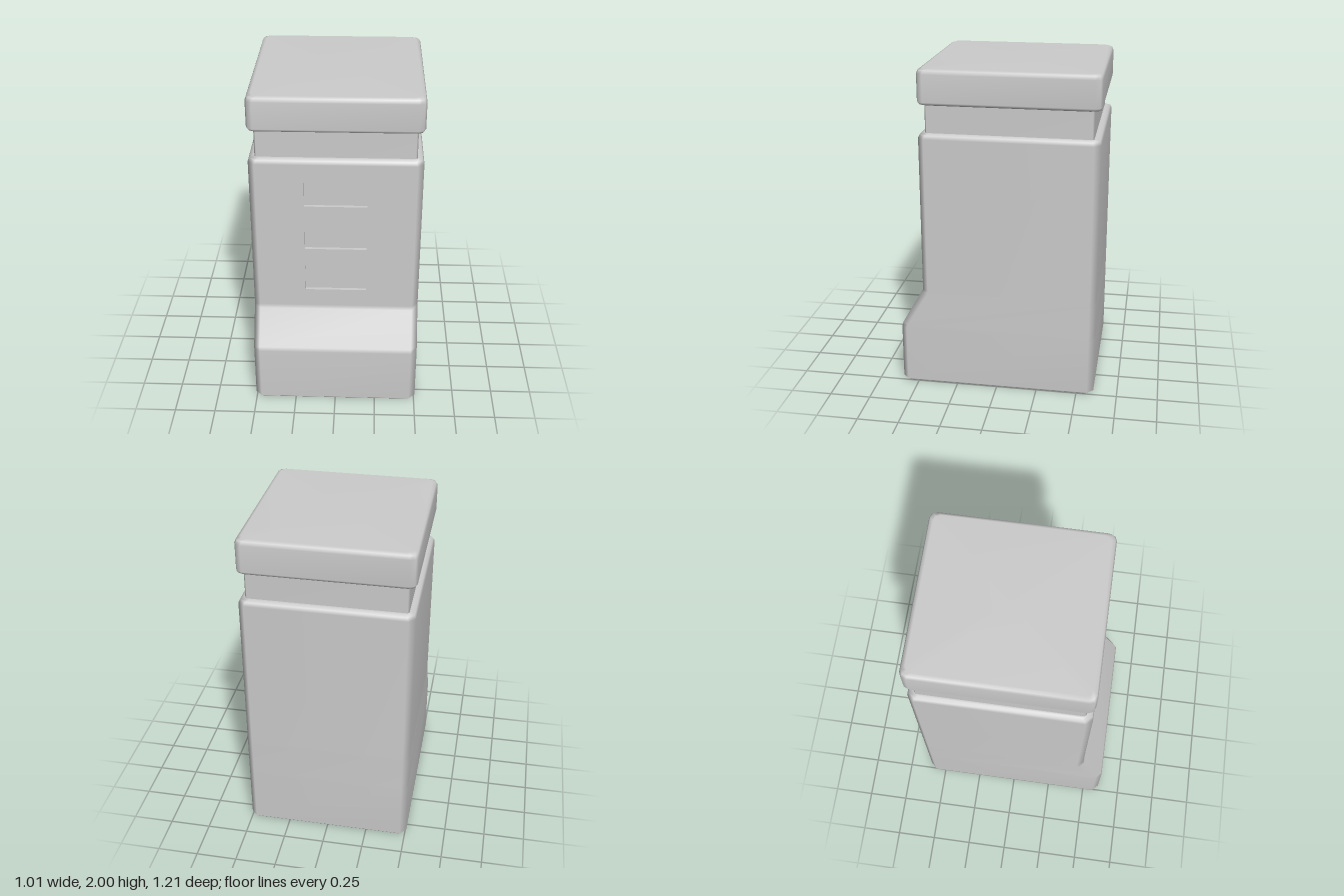
import * as THREE from 'three';

// Ring of a rectangle with rounded corners: inset shrinks it on all sides
function ring(y, halfX, front, back, r, seg) {
  const pts = [];
  const corners = [[1, 1], [-1, 1], [-1, -1], [1, -1]];
  corners.forEach(([sx, sz], k) => {
    const cx = sx * (halfX - r);
    const cz = sz > 0 ? front - r : back + r;
    for (let i = 0; i <= seg; i++) {
      const a = (k + i / seg) * Math.PI / 2;
      pts.push([cx + r * Math.cos(a), y, cz + r * Math.sin(a)]);
    }
  });
  return pts;
}

// Skin rings from bottom to top; openBand leaves the flat front of one band open
function loft(rings, seg, openBand = -1) {
  const n = rings[0].length;
  const full = [], kept = [];
  for (let i = 0; i < rings.length - 1; i++) {
    for (let j = 0; j < n; j++) {
      const a = i * n + j, b = i * n + (j + 1) % n;
      const quad = [a, a + n, b, b, a + n, b + n];
      full.push(...quad);
      if (!(i === openBand && j === seg)) kept.push(...quad);
    }
  }
  const g = new THREE.BufferGeometry();
  g.setAttribute('position', new THREE.Float32BufferAttribute(rings.flat(2), 3));
  g.setIndex(full);
  g.computeVertexNormals();
  g.setIndex(kept);
  return g;
}

function rectangle(path, x, y0, y1) {
  path.moveTo(-x, y0);
  path.lineTo(x, y0);
  path.lineTo(x, y1);
  path.lineTo(-x, y1);
  path.closePath();
  return path;
}

export function createModel() {
  const model = new THREE.Group();
  const grey = new THREE.MeshStandardMaterial({ color: 0xcccccc, side: THREE.DoubleSide });
  grey.name = 'plain grey';
  const add = (name, geometry) => {
    const mesh = new THREE.Mesh(geometry, grey);
    mesh.name = name;
    model.add(mesh);
    return mesh;
  };

  const X = 0.507, FRONT = 0.463, BACK = -0.605, FOOT = 0.605;
  const neck = [0.468, 0.422, -0.563, 0.01];

  // Hollow body with a sloped foot, open underneath: [y, front z, inset]
  const bodyRings = [
    [0, FOOT, 0.012], [0.014, FOOT, 0], [0.365, FOOT, 0], [0.39, 0.597, 0],
    [0.6, 0.471, 0], [0.625, FRONT, 0], [1.59, FRONT, 0], [1.61, FRONT, 0.009], [1.62, FRONT, 0.028],
  ].map(([y, f, d]) => ring(y, X - d, f - d, BACK + d, 0.038, 1));
  bodyRings.push(ring(1.62, ...neck, 1));
  add('body', loft(bodyRings, 1, 5));

  // Flat front wall with three slots cut out
  const wall = rectangle(new THREE.Shape(), X - 0.038, 0.625, 1.59);
  const slotX = 0.185, slotH = 0.17, depth = 0.02;
  [0.74, 1.03, 1.32].forEach((y) => {
    wall.holes.push(rectangle(new THREE.Path(), slotX, y, y + slotH));

    // Shallow recess behind each slot: a box seen from inside, without its front
    const tray = new THREE.BoxGeometry(2 * slotX, slotH, depth);
    const old = Array.from(tray.index.array);
    const inward = [];
    for (let i = 0; i < old.length; i += 3) {
      if (i >= 24 && i < 30) continue;
      inward.push(old[i], old[i + 2], old[i + 1]);
    }
    tray.setIndex(inward);
    tray.computeVertexNormals();
    add('slotRecess', tray).position.set(0, y + slotH / 2, FRONT - depth / 2);
  });
  add('frontWall', new THREE.ShapeGeometry(wall)).position.z = FRONT;

  // Narrow neck between body and cap
  add('neck', loft([1.62, 1.787].map((y) => ring(y, ...neck, 1)), 1));

  // Cap with rounded edges: [y, inset]
  const capRings = [
    [1.787, 0.025], [1.793, 0.008], [1.808, 0], [1.97, 0], [1.991, 0.009], [2, 0.03],
  ].map(([y, d]) => ring(y, X - d, FRONT - d, BACK + d, 0.04, 2));
  const mid = (FRONT + BACK) / 2;
  capRings.unshift(ring(1.787, ...neck, 2));
  capRings.push(ring(2, 0, mid, mid, 0, 2));
  add('cap', loft(capRings, 2));

  return model;
}
